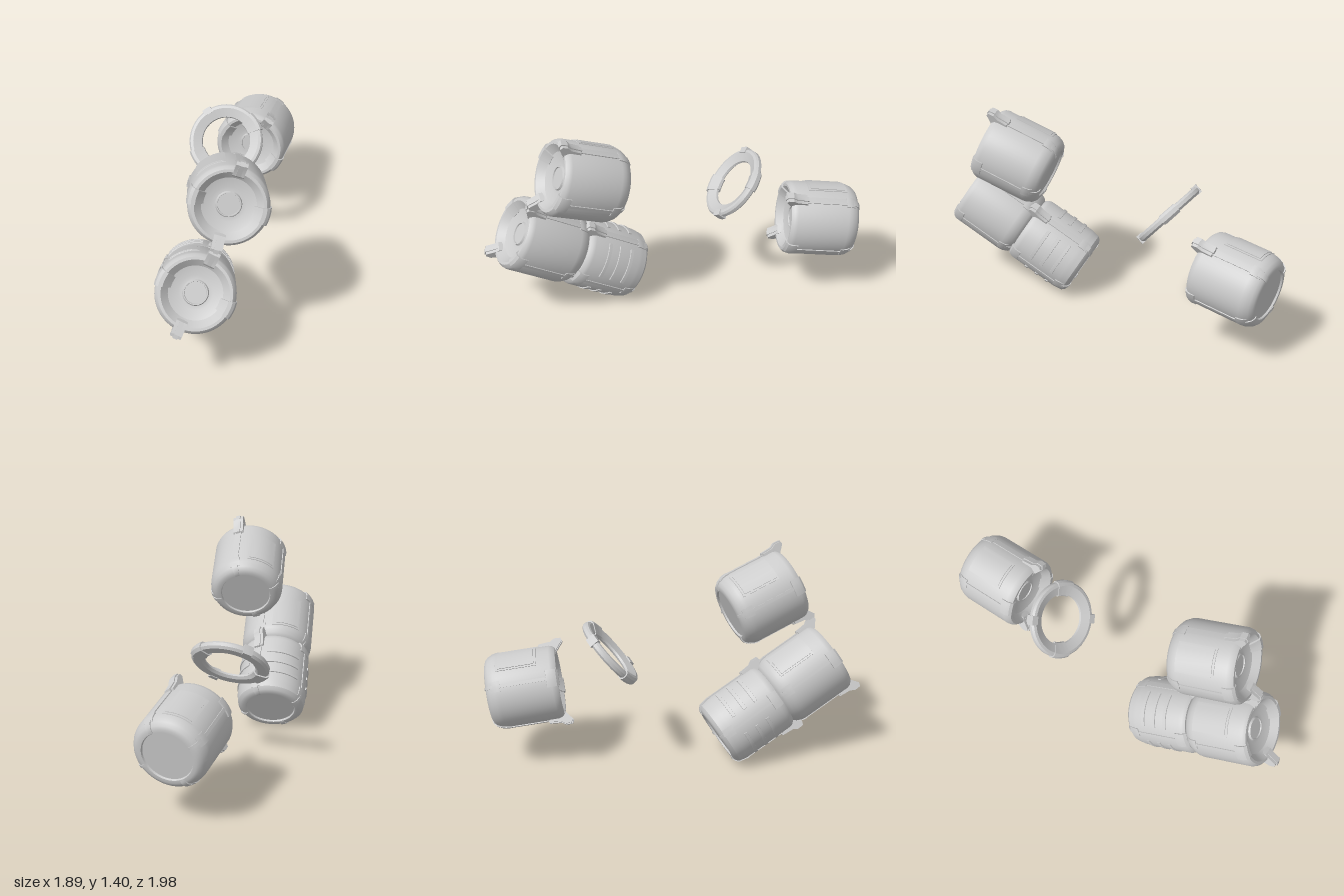
import * as THREE from 'three';
import { toCreasedNormals } from 'three/addons/utils/BufferGeometryUtils.js';

const grey = new THREE.MeshStandardMaterial({ color: 0xcccccc, side: THREE.DoubleSide });
const V = (x, y, z) => new THREE.Vector3(x, y, z);
const vecs = (pts) => pts.map(([r, y]) => new THREE.Vector2(r, y));
const deg = THREE.MathUtils.degToRad;

function add(parent, geometry, name) {
  const mesh = new THREE.Mesh(toCreasedNormals(geometry, 0.5), grey);
  mesh.name = name;
  parent.add(mesh);
  return mesh;
}

// Full turned solid around local y, profile listed from the rear upwards
function turned(parent, name, pts) {
  return add(parent, new THREE.LatheGeometry(vecs(pts), 56), name);
}

// Curved block: closed (radius, y) outline swept through an arc, with end caps
function sector(parent, name, pts, angle, width) {
  const loop = vecs([...pts, pts[0]]);
  const segs = Math.max(2, Math.ceil(width / 7));
  add(parent, new THREE.LatheGeometry(loop, segs, deg(90 - angle - width / 2), deg(width)), name);
  for (const side of [-1, 1]) {
    const cap = new THREE.ShapeGeometry(new THREE.Shape(vecs(pts)));
    cap.rotateY(-deg(angle + side * width / 2));
    add(parent, cap, name + 'End');
  }
}

// Flat-sided plate: (radius, y) outline extruded across its width
function plate(parent, name, pts, angle, width) {
  const g = new THREE.ExtrudeGeometry(new THREE.Shape(vecs(pts)), { depth: width, bevelEnabled: false });
  g.translate(0, 0, -width / 2);
  g.rotateY(-deg(angle));
  add(parent, g, name);
}

// Group whose y axis points along axis and whose x axis points along across
function oriented(name, position, axis, across) {
  const y = axis.clone().normalize();
  const x = across.clone().addScaledVector(y, -across.dot(y)).normalize();
  const g = new THREE.Group();
  g.name = name;
  g.quaternion.setFromRotationMatrix(new THREE.Matrix4().makeBasis(x, y, x.clone().cross(y)));
  g.position.copy(position);
  return g;
}

const L = 0.47;

function canister(name, position, axis, across, ribbed) {
  const g = oriented(name, position, axis, across);
  const R = ribbed ? 0.236 : 0.245;

  // Shell with rounded rear, recessed rear disc and dished front
  turned(g, 'shell', [
    [0, -L + 0.012], [0.163, -L + 0.012], [0.168, -L], [0.188, -L],
    [0.208, -L + 0.008], [0.226, -L + 0.027], [R - 0.004, -L + 0.06], [R, -L + 0.085],
    [R, -0.04], [R - 0.006, -0.018], [R - 0.022, 0], [0.206, 0],
    [0.195, -0.012], [0.165, -0.045], [0.105, -0.065], [0.08, -0.065],
    [0.074, -0.052], [0.068, -0.052], [0.066, -0.06], [0, -0.06],
  ]);

  // Hooked lugs on opposite sides of the rim, each with a raised centre plate
  for (const a of [0, 180]) {
    const hook = (o) => [
      [R - 0.02, -0.11 - o], [R + 0.012 + o, -0.1 - o], [R + 0.018 + o, -0.03], [R + 0.036 + o, 0.0],
      [R + 0.034 + o, 0.036 + o], [R + 0.015, 0.045 + o], [R - 0.03, 0.008 + o],
      [0.185, -0.008], [0.17, -0.045], [R - 0.04, -0.045],
    ];
    plate(g, 'lug', hook(0), a, 0.07);
    plate(g, 'lugRidge', hook(0.007), a, 0.03);
  }

  // Rim tabs between the lugs
  for (const a of [90, 270]) {
    sector(g, 'rimTab', [
      [R - 0.01, -0.075], [R + 0.008, -0.07], [R + 0.008, -0.03], [R - 0.002, -0.006],
      [R - 0.02, 0.008], [0.2, 0.008], [0.15, -0.044], [0.16, -0.06],
    ], a, 26);
  }

  // Long straps running down the shell and round the rear edge
  for (const a of [0, 90, 180, 270]) {
    sector(g, 'strap', [
      [R - 0.01, -0.06], [R + 0.006, -0.06], [R + 0.006, -L + 0.083], [R + 0.001, -L + 0.056],
      [0.231, -L + 0.022], [0.211, -L + 0.002], [0.188, -L - 0.006], [0.17, -L - 0.004],
      [0.185, -L + 0.02], [R - 0.01, -L + 0.085],
    ], a, a % 180 ? 5 : 10);
    sector(g, 'rearClip', [
      [R - 0.01, -L + 0.1], [R + 0.007, -L + 0.1], [R + 0.007, -L + 0.083],
      [R + 0.001, -L + 0.054], [0.23, -L + 0.03], [0.215, -L + 0.03],
    ], a, 16);
  }

  const band = (y0, y1, h) => [[R - 0.01, y0], [R + h, y0 + 0.003], [R + h, y1 - 0.003], [R - 0.01, y1]];
  if (ribbed) {
    // Three grip ribs in every quarter
    for (const a of [45, 135, 225, 315])
      for (let i = 0; i < 3; i++) {
        const y = -0.15 - i * 0.085;
        sector(g, 'gripRib', band(y - 0.014, y + 0.014, 0.007), a, 58);
      }
  } else {
    // Framed rectangular panel
    sector(g, 'panelFrame', band(-0.39, -0.12, 0.004), -43, 46);
    sector(g, 'panel', band(-0.375, -0.135, 0.008), -43, 40);
  }
  return g;
}

function lockRing() {
  const g = oriented('lockRing', V(0.18, 0.8, -0.345), V(-0.49, 0.65, 0.575), V(0.86, 0.46, 0.21));
  const outline = [
    [0.162, -0.012], [0.18, -0.026], [0.235, -0.026], [0.25, -0.012], [0.25, 0.01],
    [0.24, 0.023], [0.222, 0.026], [0.165, 0.002], [0.162, -0.012],
  ];
  turned(g, 'ring', outline);
  // Wide clamps and narrow keys around the ring
  const grown = outline.slice(0, -1).map(([r, y]) => [0.207 + (r - 0.207) * 1.2, y * 1.3]);
  for (const a of [0, 180]) sector(g, 'ringClamp', grown, a, 30);
  for (const a of [90, 270])
    sector(g, 'ringKey', [[0.225, -0.03], [0.258, -0.03], [0.258, 0.032], [0.215, 0.032]], a, 14);
  return g;
}

export function createModel() {
  const model = new THREE.Group();
  model.name = 'canisterSet';

  const stackAxis = V(-0.436, 0.504, 0.745).normalize();
  const stackUp = V(0.6, 0.78, -0.17);
  const stackFront = V(-0.735, 0.66, 0.833);

  model.add(
    canister('upperCanister', V(-0.45, 1.135, 0.745), V(-0.45, 0.365, 0.815), V(0.43, 0.89, -0.16), false),
    canister('frontCanister', stackFront, stackAxis, stackUp, false),
    canister('ribbedCanister', stackFront.clone().addScaledVector(stackAxis, -0.465), stackAxis, stackUp, true),
    canister('rearCanister', V(0.475, 0.565, -0.515), V(-0.7, 0.14, 0.7), V(0.46, 0.85, 0.27), false),
    lockRing(),
  );
  return model;
}
